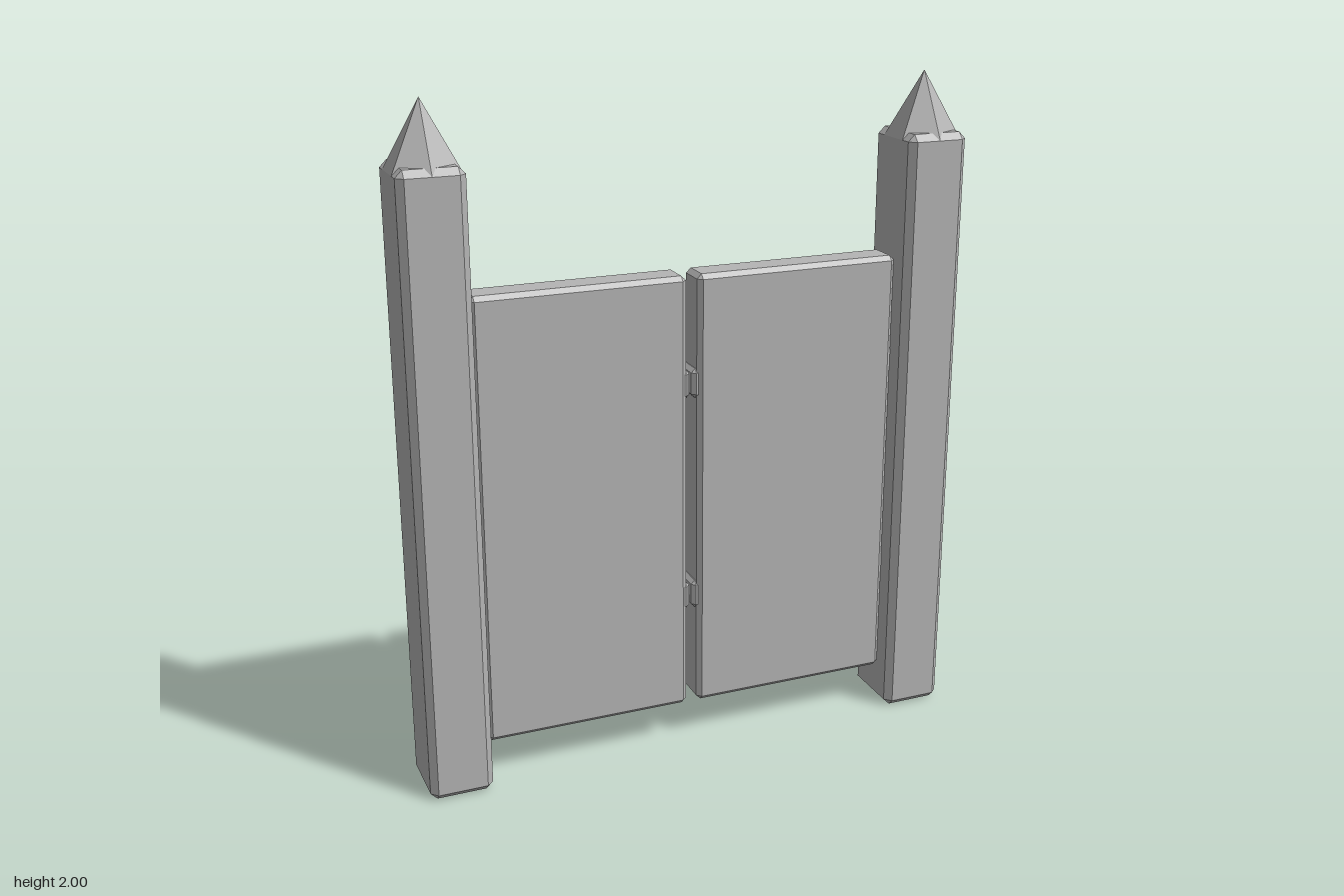
import * as THREE from 'three';
import { ConvexGeometry } from 'three/addons/geometries/ConvexGeometry.js';

const grey = new THREE.MeshStandardMaterial({ color: 0xb4b4b4 });
grey.name = 'plain grey';

// Box with every edge and corner chamfered by c
function chamferBox(w, h, d, c) {
  const points = [];
  for (const x of [-1, 1]) for (const y of [-1, 1]) for (const z of [-1, 1]) {
    const [X, Y, Z] = [w / 2, h / 2, d / 2];
    points.push(
      new THREE.Vector3(x * X, y * (Y - c), z * (Z - c)),
      new THREE.Vector3(x * (X - c), y * Y, z * (Z - c)),
      new THREE.Vector3(x * (X - c), y * (Y - c), z * Z));
  }
  return new ConvexGeometry(points);
}

function part(name, geometry, x, y, z) {
  const mesh = new THREE.Mesh(geometry, grey);
  mesh.name = name;
  mesh.position.set(x, y, z);
  return mesh;
}

export function createModel() {
  const gate = new THREE.Group();
  gate.name = 'gate';

  const postGeometry = chamferBox(0.187, 1.83, 0.216, 0.02);
  const spikeGeometry = new THREE.ConeGeometry(0.108, 0.19, 6).toNonIndexed();
  spikeGeometry.computeVertexNormals();
  const panelGeometry = chamferBox(0.63, 1.345, 0.108, 0.014);
  const railGeometry = chamferBox(0.652, 0.088, 0.117, 0.012);

  // Diagonal brace: from the top outer corner down to the middle
  const dx = 0.488, dy = 0.62;
  const braceGeometry = chamferBox(Math.hypot(dx, dy), 0.06, 0.117, 0.01);

  for (const side of [-1, 1]) {
    const half = new THREE.Group();
    half.name = side > 0 ? 'leftHalf' : 'rightHalf';

    // Post with a six-sided spike
    half.add(part('post', postGeometry, side * 0.743, 0.915, 0));
    half.add(part('postSpike', spikeGeometry, side * 0.743, 1.905, 0));

    // Door panel with rails running through it
    half.add(part('doorPanel', panelGeometry, side * 0.332, 0.7975, -0.004));
    half.add(part('lowerRail', railGeometry, side * 0.329, 0.48, -0.0185));
    half.add(part('upperRail', railGeometry, side * 0.329, 1.146, -0.0185));

    const brace = part('brace', braceGeometry, side * 0.333, 0.812, -0.0265);
    brace.rotation.z = side * Math.atan2(dy, dx);
    half.add(brace);
    gate.add(half);
  }
  return gate;
}
